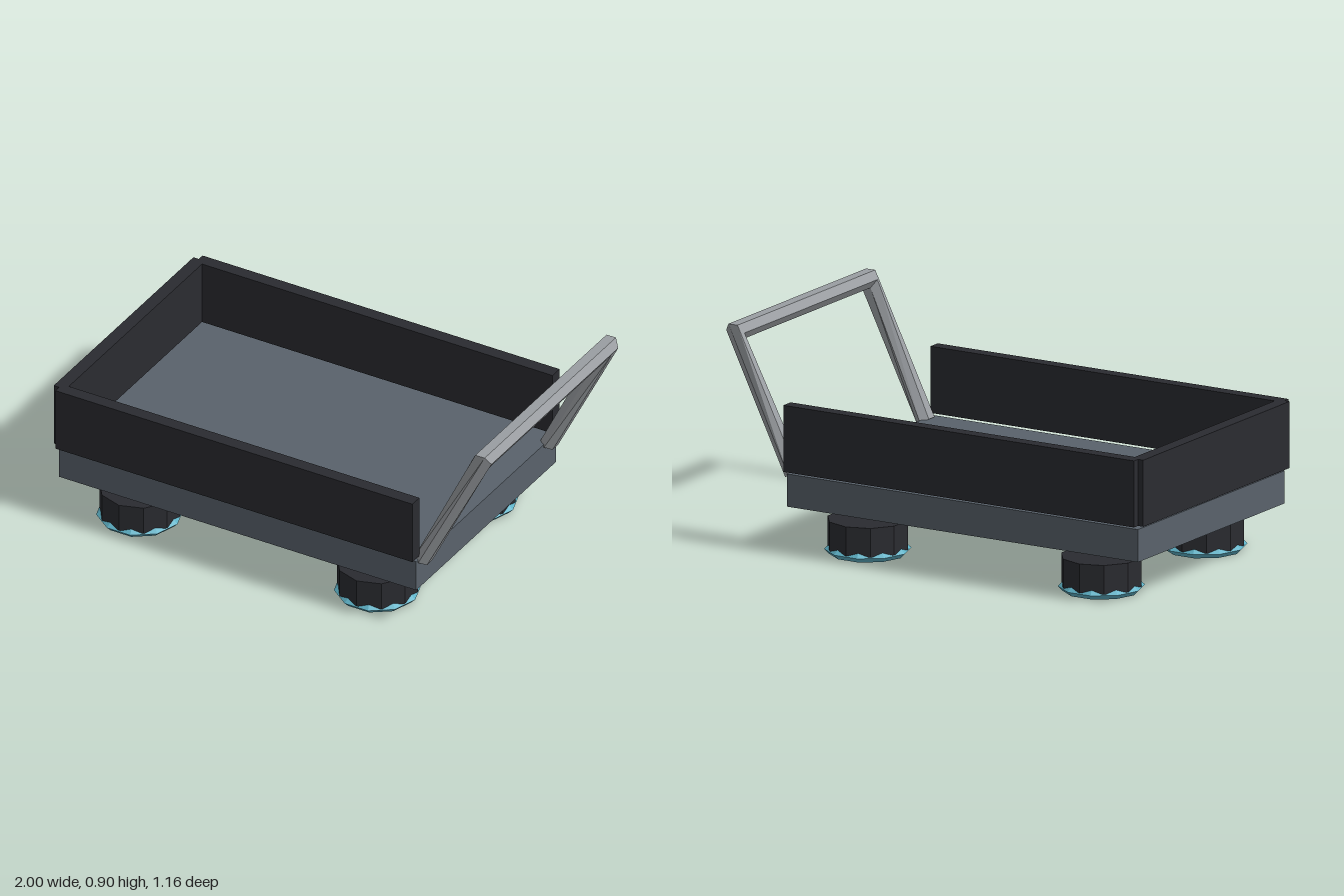
import * as THREE from 'three';

const mat = (color, extra = {}) => {
  const m = new THREE.MeshStandardMaterial(extra);
  m.color.set(color);
  m.flatShading = true;
  return m;
};

// Lofts a closed tube through rings of points and caps both ends
function loft(rings) {
  const pos = [], n = rings[0].length;
  const tri = (a, b, c) => pos.push(...a.toArray(), ...b.toArray(), ...c.toArray());
  for (let i = 0; i < rings.length - 1; i++) {
    const a = rings[i], b = rings[i + 1];
    for (let k = 0; k < n; k++) {
      const j = (k + 1) % n;
      tri(a[k], b[k], a[j]);
      tri(a[j], b[k], b[j]);
    }
  }
  const first = rings[0], last = rings[rings.length - 1];
  for (let k = 1; k < n - 1; k++) {
    tri(first[0], first[k], first[k + 1]);
    tri(last[0], last[k + 1], last[k]);
  }
  const geo = new THREE.BufferGeometry();
  geo.setAttribute('position', new THREE.Float32BufferAttribute(pos, 3));
  geo.computeVertexNormals();
  return geo;
}

// Six-sided ring around a centre, spanned by two axes
function hexRing(center, u, v, turn = 0) {
  return Array.from({ length: 6 }, (_, k) => {
    const a = k * Math.PI / 3 + turn;
    return new THREE.Vector3(...center)
      .addScaledVector(new THREE.Vector3(...u), Math.cos(a))
      .addScaledVector(new THREE.Vector3(...v), Math.sin(a));
  });
}

export function createModel() {
  const model = new THREE.Group();
  model.name = 'hoverCart';
  const deckMat = mat(0x59626b), darkMat = mat(0x2a2b30);
  const ringMat = mat(0x5fb3c8), handleMat = mat(0x9a9ea2);

  const add = (name, geo, material, x = 0, y = 0, z = 0) => {
    const mesh = new THREE.Mesh(geo, material);
    mesh.name = name;
    mesh.position.set(x, y, z);
    model.add(mesh);
    return mesh;
  };

  // Deck and the three walls, floating just above it
  add('deck', new THREE.BoxGeometry(1.655, 0.135, 1.1), deckMat, -0.147, 0.257, 0);
  for (const s of [1, -1]) {
    add(s > 0 ? 'frontWall' : 'backWall', new THREE.BoxGeometry(1.655, 0.275, 0.055),
      darkMat, -0.147, 0.477, s * 0.552);
  }
  add('endWall', new THREE.BoxGeometry(0.055, 0.275, 1.1), darkMat, -0.972, 0.477, 0);

  // Hover pods with glowing rings underneath
  for (const x of [-0.698, 0.404]) {
    for (const z of [-0.385, 0.385]) {
      add('hoverPod', new THREE.CylinderGeometry(0.165, 0.165, 0.12, 10), darkMat, x, 0.084, z);
      add('hoverRing', new THREE.TorusGeometry(0.155, 0.02, 4, 10), ringMat, x, 0.02, z)
        .rotation.x = Math.PI / 2;
    }
  }

  // Push handle: two leaning posts joined by a mitred bar
  const foot = s => hexRing([0.683, 0.314, s * 0.495], [0.032, -0.016, 0], [0, 0, s * 0.0435], Math.PI / 6);
  const corner = s => hexRing([0.957, 0.863, s * 0.499], [0.043, 0, 0], [0, 0.038, s * 0.021]);
  add('pushHandle', loft([foot(1), corner(1), corner(-1), foot(-1)]), handleMat);

  return model;
}
